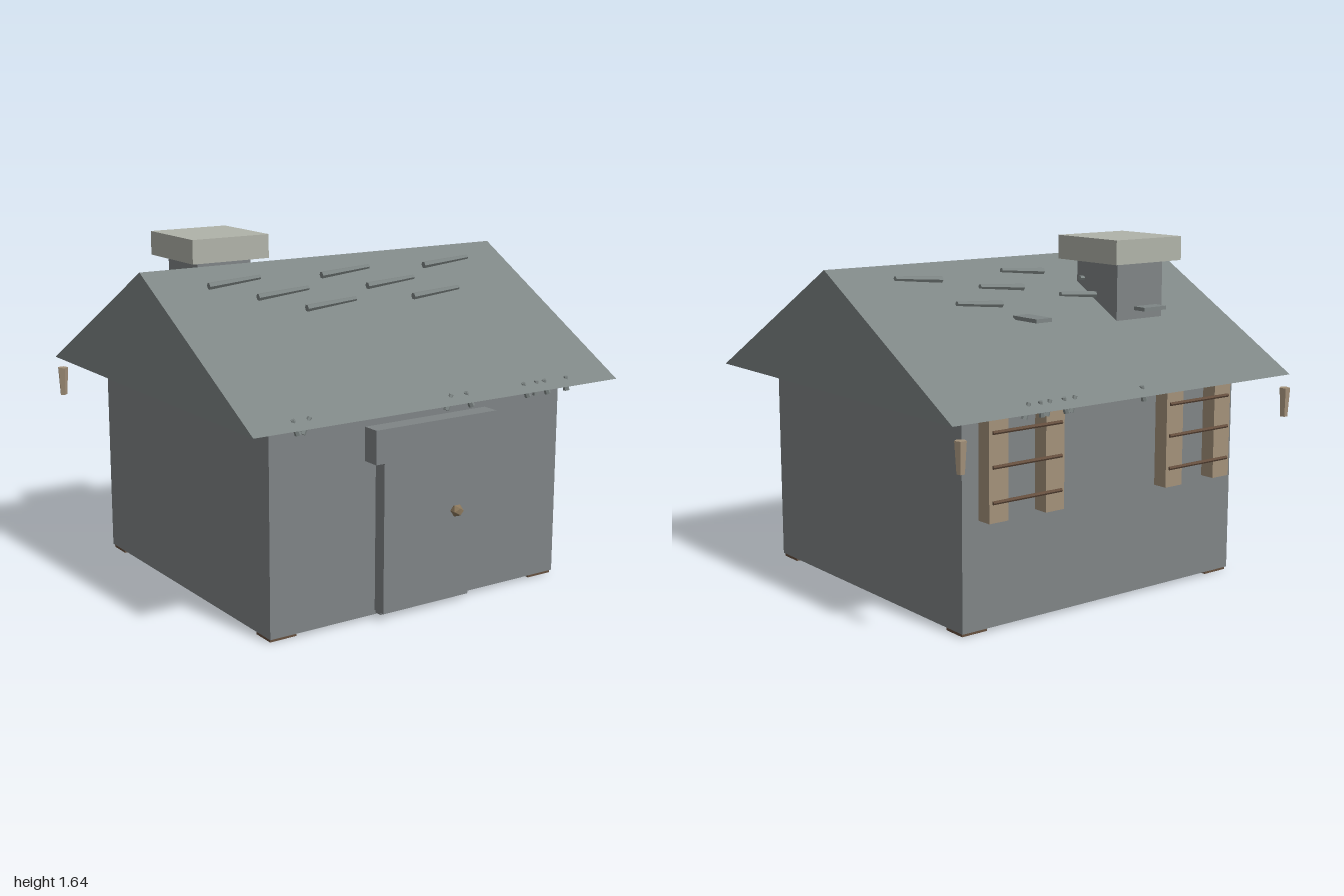
import * as THREE from 'three';

const mat = (name, color) => {
  const m = new THREE.MeshStandardMaterial({ color });
  m.name = name;
  return m;
};

export function createModel() {
  const house = new THREE.Group();
  house.name = 'cottage';

  const wallGrey = mat('wall grey', 0x7f8486);
  const roofGrey = mat('roof grey', 0x7e8685);
  const stone = mat('pale stone', 0xb0b3a9);
  const wood = mat('light wood', 0xa3917a);
  const darkWood = mat('dark wood', 0x66503f);
  const brass = mat('knob brown', 0x8a775c);

  const add = (name, geometry, material) => {
    const mesh = new THREE.Mesh(geometry, material);
    mesh.name = name;
    house.add(mesh);
    return mesh;
  };

  // Box given by its extents along each axis
  const box = (name, material, [x0, x1], [y0, y1], [z0, z1]) => {
    const mesh = add(name, new THREE.BoxGeometry(x1 - x0, y1 - y0, z1 - z0), material);
    mesh.position.set((x0 + x1) / 2, (y0 + y1) / 2, (z0 + z1) / 2);
    return mesh;
  };

  // Tapered rod running from point a to point b
  const rod = (name, material, a, b, ra, rb, sides = 6) => {
    const from = new THREE.Vector3(...a), to = new THREE.Vector3(...b);
    const dir = to.clone().sub(from);
    const geometry = new THREE.CylinderGeometry(rb, ra, dir.length(), sides).toNonIndexed();
    geometry.computeVertexNormals();
    const mesh = add(name, geometry, material);
    mesh.position.copy(from).add(to).multiplyScalar(0.5);
    mesh.quaternion.setFromUnitVectors(new THREE.Vector3(0, 1, 0), dir.normalize());
    return mesh;
  };

  // Walls
  box('walls', wallGrey, [-0.81, 0.81], [0.015, 0.99], [-0.76, 0.79]);

  // Gabled roof: a triangle in the z-y plane extruded along x
  const gable = new THREE.Shape([
    new THREE.Vector2(-0.985, 0.99),
    new THREE.Vector2(0.96, 0.99),
    new THREE.Vector2(-0.01, 1.54),
  ]);
  const roof = new THREE.ExtrudeGeometry(gable, { depth: 2, bevelEnabled: false });
  roof.rotateY(Math.PI / 2);
  roof.translate(-1, 0, 0);
  add('roof', roof, roofGrey);

  // Chimney
  box('chimneyShaft', wallGrey, [-0.59, -0.3], [1.1, 1.54], [-0.49, -0.2]);
  box('chimneyCap', stone, [-0.65, -0.235], [1.53, 1.645], [-0.555, -0.135]);

  // Flat slates jutting from the back slope
  box('loosePlate', roofGrey, [-0.55, -0.41], [1.3, 1.318], [-0.565, -0.395]);
  box('loosePlate', roofGrey, [0.16, 0.25], [1.3, 1.318], [-0.565, -0.395]);

  // Door with side strip, lintel and knob
  box('door', wallGrey, [-0.25, 0.25], [0.022, 0.86], [0.78, 0.83]);
  box('doorStrip', wallGrey, [-0.255, -0.22], [0.035, 0.8], [0.78, 0.857]);
  box('lintel', wallGrey, [-0.335, 0.335], [0.755, 0.91], [0.82, 0.905]);
  const knob = add('doorKnob', new THREE.IcosahedronGeometry(0.031, 0), brass);
  knob.position.set(0.15, 0.455, 0.865);

  // Straw sticks lying on both slopes, each lifting a little along the slope normal
  const stickRows = [
    { y: 1.487, d: 0.16, xs: [-0.605, 0, 0.6] },
    { y: 1.432, d: 0.255, xs: [-0.405, 0.197] },
    { y: 1.377, d: 0.35, xs: [-0.205, 0.397] },
  ];
  for (const { y, d, xs } of stickRows) {
    for (const x of xs) {
      for (const s of [1, -1]) {
        const z = 0.013 + s * d;
        rod('roofStick', roofGrey,
          [x - 0.131, y - 0.011, z - s * 0.006],
          [x + 0.131, y + 0.011, z + s * 0.006], 0.017, 0.011);
      }
    }
  }

  // Short twigs poking through the eaves: [top x, bottom x]
  const frontTwigs = [[-0.78, -0.755], [-0.695, -0.735], [0.05, 0.02], [0.13, 0.165],
    [0.465, 0.495], [0.545, 0.54], [0.59, 0.615], [0.725, 0.73]];
  const backTwigs = [[-0.08, -0.1], [0.31, 0.335], [0.375, 0.355],
    [0.45, 0.47], [0.505, 0.49], [0.565, 0.59]];
  for (const [x, x2] of frontTwigs) {
    rod('eaveTwig', roofGrey, [x2, 0.96, 0.935], [x, 1.027, 0.932], 0.015, 0.01);
  }
  for (const [x, x2] of backTwigs) {
    rod('eaveTwig', roofGrey, [x2, 0.96, -0.905], [x, 1.03, -0.907], 0.015, 0.01);
  }

  // Barred windows on the back wall
  for (const cx of [0.515, -0.515]) {
    for (const s of [1, -1]) {
      const px = cx + s * 0.155;
      box('windowPost', wood, [px - 0.052, px + 0.052], [0.51, 0.989], [-0.836, -0.75]);
    }
    for (const y of [0.905, 0.755, 0.6]) {
      rod('windowBar', darkWood, [cx - 0.19, y, -0.838], [cx + 0.19, y, -0.838], 0.009, 0.009);
    }
  }

  // Tapered pegs hanging at the back corners
  for (const s of [1, -1]) {
    rod('cornerPeg', wood, [s * 0.963, 0.79, -0.963], [s * 0.963, 0.93, -0.963], 0.018, 0.027, 5);
  }

  // Feet
  for (const s of [1, -1]) {
    const xs = s > 0 ? [0.67, 0.805] : [-0.805, -0.67];
    box('foot', darkWood, xs, [0, 0.02], [0.665, 0.78]);
    box('foot', darkWood, xs, [0, 0.02], [-0.75, -0.635]);
  }

  return house;
}
